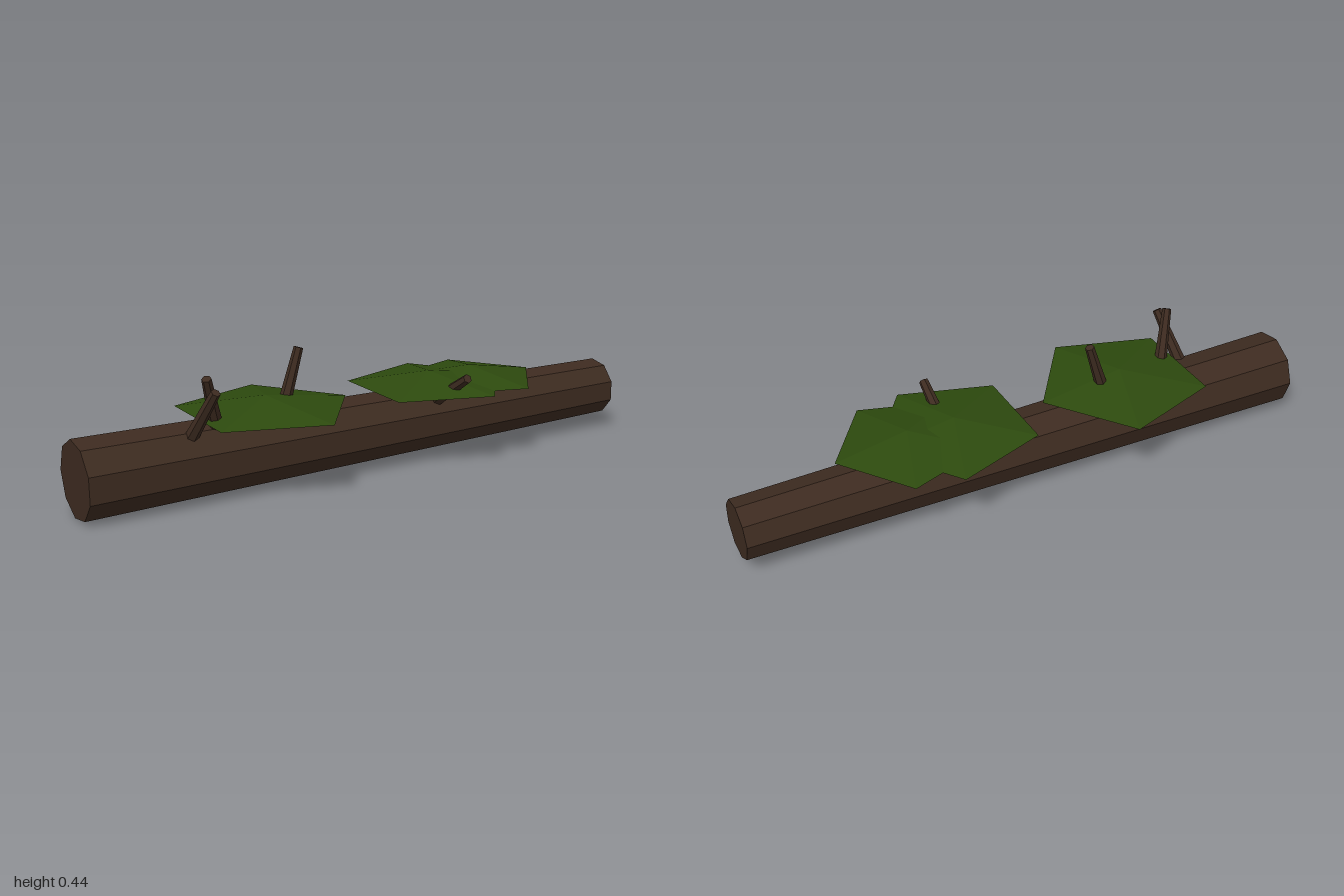
import * as THREE from 'three';

export function createModel() {
  const model = new THREE.Group();
  const bark = new THREE.MeshStandardMaterial({ color: 0x3d2b20, flatShading: true });
  bark.name = 'bark';
  const moss = new THREE.MeshStandardMaterial({ color: 0x2d4a0e, flatShading: true });
  moss.name = 'moss';

  const add = (name, geometry, material) => {
    const mesh = new THREE.Mesh(geometry, material);
    mesh.name = name;
    model.add(mesh);
    return mesh;
  };

  // Tapered cylinder running from point a to point b
  const limb = (name, a, b, rA, rB, sides, start = 0) => {
    const from = new THREE.Vector3(...a);
    const to = new THREE.Vector3(...b);
    const dir = to.clone().sub(from);
    const mesh = add(name, new THREE.CylinderGeometry(rB, rA, dir.length(), sides, 1, false, start), bark);
    mesh.position.copy(from).add(to).multiplyScalar(0.5);
    mesh.quaternion.setFromUnitVectors(new THREE.Vector3(0, 1, 0), dir.normalize());
  };

  // Fallen trunk, nine-sided, slightly thinner at the +x end
  limb('trunk', [-1, 0.126, -0.012], [1, 0.1425, -0.012], 0.127, 0.099, 9, Math.PI);

  // Broken branch stubs, rooted inside the trunk
  [
    [[-0.65, 0.2, 0.033], [-0.612, 0.382, 0.158]],
    [[-0.545, 0.21, 0.024], [-0.617, 0.413, 0.105]],
    [[-0.308, 0.21, -0.014], [-0.235, 0.438, -0.02]],
    [[0.253, 0.21, 0.05], [0.258, 0.32, 0.22]],
  ].forEach(([a, b], i) => limb('branchStub' + (i + 1), a, b, 0.023, 0.0155, 6));

  // Shallow five-sided moss patches resting on top: x, z, radius
  [
    [-0.366, -0.002, 0.294],
    [0.25, 0.006, 0.275],
    [0.412, 0.011, 0.248],
  ].forEach(([x, z, r], i) => {
    const patch = add('mossPatch' + (i + 1), new THREE.ConeGeometry(r, 0.043, 5, 1, false, Math.PI / 2), moss);
    patch.position.set(x, 0.26 + 0.0215, z);
  });

  return model;
}
